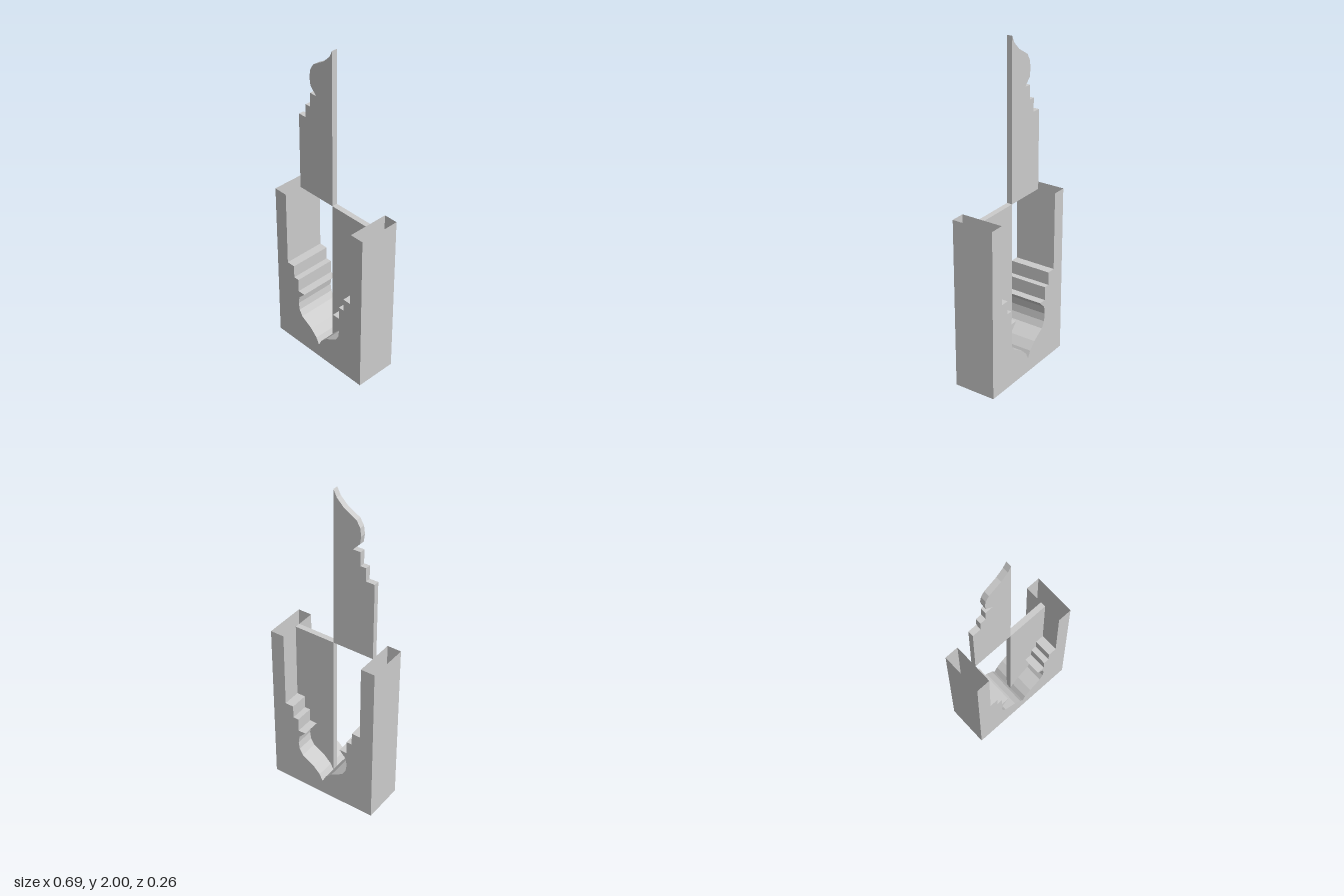
import * as THREE from 'three';

const HALF_W = 0.347, HALF_D = 0.13, RIM = 1.045;
const PANEL_BACK = -0.016, PANEL_THICK = 0.034;

// Right half of the opening, from the rim down to its pointed tip
const profile = [
  [0.26, RIM], [0.26, 0.565], [0.206, 0.565], [0.206, 0.484], [0.17, 0.484], [0.17, 0.4],
  [0.122, 0.4], [0.165, 0.355], [0.172, 0.307], [0.165, 0.26], [0.143, 0.222],
  [0.064, 0.175], [0.021, 0.132], [0, 0.09],
];

const material = new THREE.MeshStandardMaterial({
  color: 0xcccccc, flatShading: true, side: THREE.DoubleSide,
});

const toShape = (points) => new THREE.Shape(points.map(([x, y]) => new THREE.Vector2(x, y)));

// Wall that follows a polyline and spans the full depth, with the solid on its left
function ribbon(points) {
  const pos = [];
  for (let i = 0; i < points.length - 1; i++) {
    const [ax, ay] = points[i], [bx, by] = points[i + 1];
    pos.push(
      ax, ay, HALF_D, ax, ay, -HALF_D, bx, by, -HALF_D,
      ax, ay, HALF_D, bx, by, -HALF_D, bx, by, HALF_D,
    );
  }
  const geo = new THREE.BufferGeometry();
  geo.setAttribute('position', new THREE.Float32BufferAttribute(pos, 3));
  geo.computeVertexNormals();
  return geo;
}

function add(parent, name, geometry) {
  const mesh = new THREE.Mesh(geometry, material);
  mesh.name = name;
  parent.add(mesh);
  return mesh;
}

export function createModel() {
  const model = new THREE.Group();
  model.name = 'windowWithSlidingPanels';

  // Hollow wall block, left open along the rim
  const block = new THREE.Group();
  block.name = 'wallBlock';
  model.add(block);
  const outer = [[-HALF_W, RIM], [-HALF_W, 0], [HALF_W, 0], [HALF_W, RIM]];
  const mirrored = profile.slice(0, -1).reverse().map(([x, y]) => [-x, y]);
  const opening = [...profile, ...mirrored];
  const face = toShape([...outer, ...opening]);
  add(block, 'frontFace', new THREE.ShapeGeometry(face)).position.z = HALF_D;
  const back = add(block, 'backFace', new THREE.ShapeGeometry(face));
  back.rotation.y = Math.PI;
  back.position.z = -HALF_D;
  add(block, 'outerWalls', ribbon(outer));
  add(block, 'openingWalls', ribbon(opening));

  // Thin panel filling one half of the opening
  const panelGeo = new THREE.ExtrudeGeometry(toShape([...profile, [0, RIM]]), {
    depth: PANEL_THICK, bevelEnabled: false,
  });
  panelGeo.translate(0, 0, PANEL_BACK);
  add(model, 'lowerPanel', panelGeo);

  // Same panel turned half a revolution about the middle of the rim
  const upper = add(model, 'upperPanel', panelGeo);
  upper.rotation.z = Math.PI;
  upper.position.y = 2 * RIM;

  return model;
}
